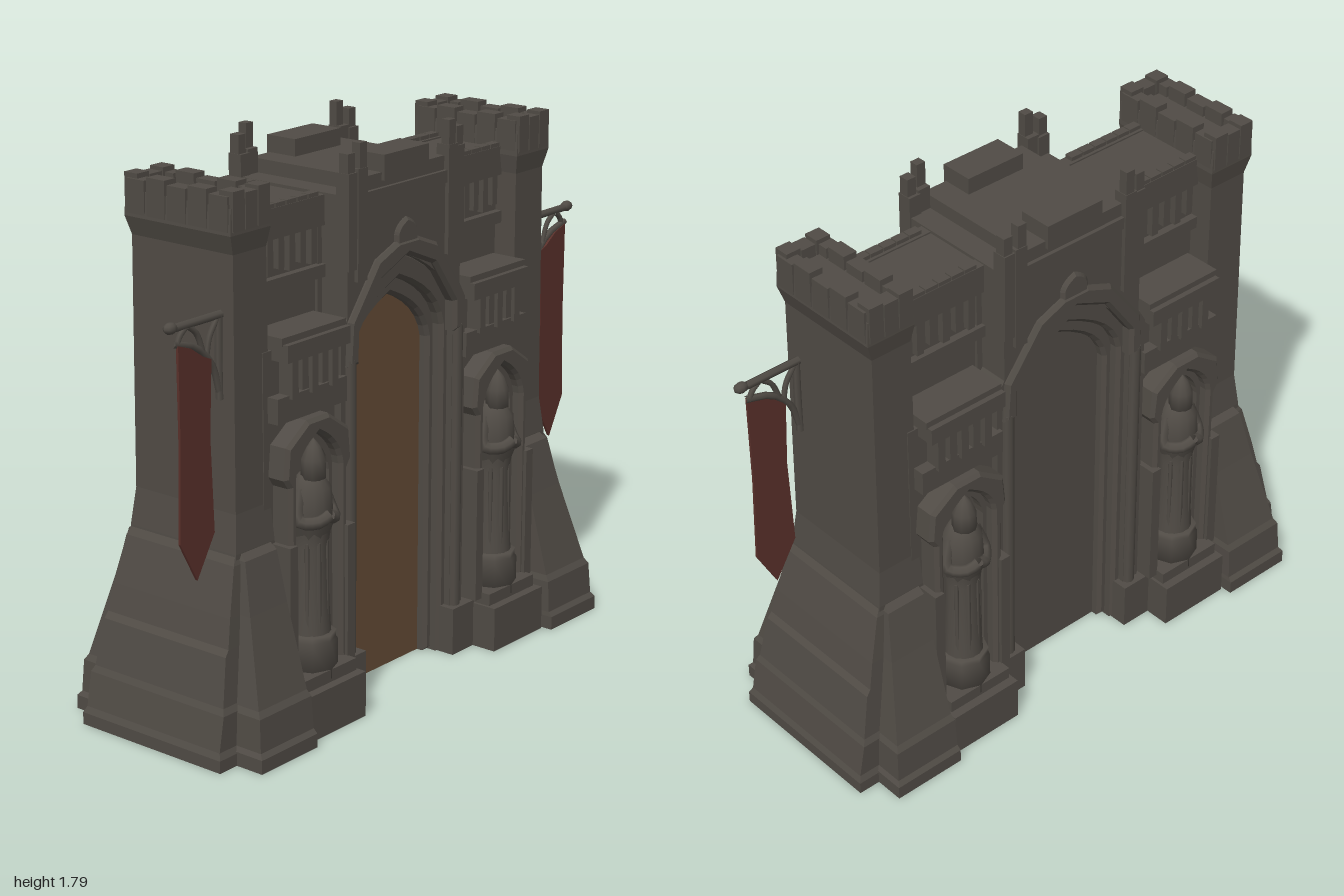
import * as THREE from 'three';

const mat = (name, color, extra = {}) => {
  const m = new THREE.MeshStandardMaterial({ color, ...extra });
  m.name = name;
  return m;
};

export function createModel() {
  const stone = mat('stone', 0x504b45);
  const wood = mat('wood', 0x644b35);
  const cloth = mat('cloth', 0x59302a, { side: THREE.DoubleSide });
  const root = new THREE.Group();
  root.name = 'gatehouse';

  const add = (parent, name, geo, material = stone) => {
    const mesh = new THREE.Mesh(geo, material);
    mesh.name = name;
    parent.add(mesh);
    return mesh;
  };
  // box given by its extents
  const box = (parent, name, x0, x1, y0, y1, z0, z1) => {
    const m = add(parent, name, new THREE.BoxGeometry(x1 - x0, y1 - y0, z1 - z0));
    m.position.set((x0 + x1) / 2, (y0 + y1) / 2, (z0 + z1) / 2);
    return m;
  };
  // stacked rectangular sections [y, half width in x, z0, z1]
  const loft = (parent, name, rows) => {
    const ring = ([y, h, z0, z1]) => [[-h, y, z1], [h, y, z1], [h, y, z0], [-h, y, z0]];
    const pos = [];
    const quad = (a, b, c, d) => pos.push(...a, ...b, ...c, ...a, ...c, ...d);
    for (let i = 0; i < rows.length - 1; i++) {
      const lo = ring(rows[i]), hi = ring(rows[i + 1]);
      for (let k = 0; k < 4; k++) quad(lo[k], lo[(k + 1) % 4], hi[(k + 1) % 4], hi[k]);
    }
    const t = ring(rows[rows.length - 1]), b = ring(rows[0]);
    quad(t[0], t[1], t[2], t[3]);
    quad(b[3], b[2], b[1], b[0]);
    const g = new THREE.BufferGeometry();
    g.setAttribute('position', new THREE.Float32BufferAttribute(pos, 3));
    g.computeVertexNormals();
    return add(parent, name, g);
  };
  // closed outline from z/y points
  const outline = (pts) => new THREE.Shape(pts.map(([z, y]) => new THREE.Vector2(z, y)));
  // pointed arch points from left foot to right foot: half width, foot, spring, peak
  const archPoints = (w, y0, ys, yp) => {
    const bend = ys + (yp - ys) * 0.62;
    const curve = new THREE.QuadraticBezierCurve(new THREE.Vector2(-w, ys),
      new THREE.Vector2(-w * 0.9, bend), new THREE.Vector2(0, yp));
    const left = [[-w, y0], ...curve.getPoints(6).map(p => [p.x, p.y])];
    return [...left, ...left.slice(0, -1).reverse().map(([z, y]) => [-z, y])];
  };
  // arch band that stays open at the foot
  const archBand = (outer, inner) => outline([...archPoints(...outer), ...archPoints(...inner).reverse()]);
  // extrude a z/y outline along x from x0 to x1
  const slab = (parent, name, shape, x0, x1, z = 0, material = stone, bevel = 0) => {
    const g = new THREE.ExtrudeGeometry(shape, {
      depth: x1 - x0 - bevel, bevelEnabled: bevel > 0,
      bevelSize: bevel, bevelThickness: bevel, bevelOffset: -bevel, bevelSegments: 1,
    });
    g.rotateY(Math.PI / 2);
    const m = add(parent, name, g, material);
    m.position.set(x0, 0, z);
    return m;
  };

  // centre block behind the gate
  box(root, 'gateCore', -0.13, 0.13, 0, 1.6, -0.3, 0.3);
  box(root, 'gateRoof', -0.23, 0.23, 1.56, 1.63, -0.28, 0.28);
  box(root, 'gateRoofTop', -0.225, 0.225, 1.6, 1.675, -0.2, 0.2);

  // statue standing in a niche
  const statue = (parent, z) => {
    const g = new THREE.Group();
    g.name = 'statue';
    g.position.set(0.236, 0, z);
    parent.add(g);
    const lathe = (name, pts, sides) => add(g, name,
      new THREE.LatheGeometry(pts.map(p => new THREE.Vector2(...p)), sides));
    lathe('pedestal', [[0, 0.15], [0.085, 0.16], [0.085, 0.27], [0.078, 0.28], [0.08, 0.3], [0, 0.31]], 8);
    lathe('robe', [[0.064, 0.3], [0.058, 0.4], [0.054, 0.58], [0.062, 0.62], [0.07, 0.7],
      [0.065, 0.77], [0.035, 0.81], [0, 0.82]], 14);
    lathe('hood', [[0, 0.78], [0.04, 0.8], [0.038, 0.86], [0.022, 0.9], [0, 0.925]], 10).position.x = 0.014;
    for (const s of [-1, 1]) {
      const path = new THREE.CatmullRomCurve3([new THREE.Vector3(0, 0.77, s * 0.05),
        new THREE.Vector3(0.02, 0.68, s * 0.075), new THREE.Vector3(0.065, 0.675, s * 0.035),
        new THREE.Vector3(0.075, 0.69, 0)]);
      add(g, 'arm', new THREE.TubeGeometry(path, 10, 0.021, 7));
      for (const a of [0.35, 1.05]) {
        const fold = add(g, 'robeFold', new THREE.CylinderGeometry(0.007, 0.009, 0.3, 6));
        fold.position.set(0.053 * Math.cos(a), 0.45, s * 0.053 * Math.sin(a));
      }
    }
    const drape = add(g, 'sleeveDrape', new THREE.CylinderGeometry(0.082, 0.056, 0.07, 10));
    drape.position.y = 0.64;
  };

  // one long face of the gatehouse, facing +x
  const face = (doorMaterial) => {
    const g = new THREE.Group();
    g.name = 'gateFace';
    root.add(g);
    slab(g, 'door', outline(archPoints(0.2, 0, 1.08, 1.27)), 0.13, 0.139, 0, doorMaterial);
    slab(g, 'gateWall', outline([[-0.31, 0], [-0.31, 1.2], [-0.28, 1.25], [-0.28, 1.61], [0.28, 1.61],
      [0.28, 1.25], [0.31, 1.2], [0.31, 0], ...archPoints(0.245, 0, 1.17, 1.4).reverse()]), 0.12, 0.23);
    slab(g, 'innerArch', archBand([0.23, 0, 1.12, 1.335], [0.192, 0, 1.08, 1.262]), 0.12, 0.172, 0, stone, 0.012);
    slab(g, 'middleArch', archBand([0.26, 0, 1.17, 1.41], [0.218, 0, 1.12, 1.32]), 0.12, 0.208, 0, stone, 0.012);

    // angular hood over the arch
    slab(g, 'archHood', outline([[-0.29, 1.1], [-0.235, 1.1], [-0.235, 1.2], [-0.13, 1.345], [0, 1.4],
      [0.13, 1.345], [0.235, 1.2], [0.235, 1.1], [0.29, 1.1], [0.28, 1.24], [0.15, 1.41], [0.05, 1.45],
      [-0.05, 1.45], [-0.15, 1.41], [-0.28, 1.24]]), 0.2, 0.248, 0, stone, 0.012);
    slab(g, 'archBoss', outline(archPoints(0.055, 1.43, 1.47, 1.52)), 0.22, 0.243, 0, stone, 0.01);
    box(g, 'upperCornice', 0.2, 0.238, 1.59, 1.63, -0.2, 0.2);
    box(g, 'roofSlab', 0.12, 0.235, 1.65, 1.73, -0.11, 0.11);

    for (const s of [-1, 1]) {
      const zz = (a, b) => (s > 0 ? [a, b] : [-b, -a]);
      // pinnacles and jamb shafts beside the arch
      box(g, 'pinnacle', 0.195, 0.244, 1.36, 1.71, ...zz(0.2, 0.245));
      box(g, 'pinnacleTip', 0.212, 0.242, 1.7, 1.788, ...zz(0.202, 0.235));
      box(g, 'pinnacleShoulder', 0.19, 0.24, 1.4, 1.7, ...zz(0.24, 0.285));
      box(g, 'pinnacleShoulderTip', 0.2, 0.235, 1.69, 1.76, ...zz(0.25, 0.283));
      box(g, 'jambFoot', 0.18, 0.262, 0, 0.16, ...zz(0.225, 0.34));
      const shaft = add(g, 'jambShaft', new THREE.CylinderGeometry(0.022, 0.022, 1, 8));
      shaft.position.set(0.228, 0.62, s * 0.268);

      // niche bay with an angular hood
      const zc = s * 0.465;
      box(g, 'nichePlinth', 0.1, 0.35, 0, 0.15, ...zz(0.335, 0.6));
      box(g, 'nichePlinthTop', 0.1, 0.32, 0.14, 0.19, ...zz(0.345, 0.59));
      slab(g, 'nicheFrame', outline([[-0.135, 0.17], [-0.135, 0.8], [-0.155, 0.83], [-0.145, 0.93], [-0.05, 0.995],
        [0.05, 0.995], [0.145, 0.93], [0.155, 0.83], [0.135, 0.8], [0.135, 0.17],
        ...archPoints(0.1, 0.17, 0.82, 0.945).reverse()]), 0.18, 0.276, zc, stone, 0.012);
      slab(g, 'nicheInnerFrame', archBand([0.11, 0.17, 0.83, 0.955], [0.085, 0.17, 0.8, 0.92]), 0.18, 0.24, zc);
      for (const d of [-0.135, 0.135]) box(g, 'nichePier', 0.18, 0.288, 0.17, 0.62, zc + d - 0.018, zc + d + 0.018);
      statue(g, zc);

      // shelf above the niche, carried on corbels
      box(g, 'lowerSill', 0.18, 0.245, 1.0, 1.08, ...zz(0.3, 0.62));
      box(g, 'shelf', 0.1, 0.268, 1.19, 1.245, ...zz(0.31, 0.6));
      box(g, 'shelfTop', 0.1, 0.25, 1.24, 1.265, ...zz(0.31, 0.605));
      for (let i = 0; i < 5; i++) {
        const z = s * (0.37 + i * 0.046);
        box(g, 'lowerCorbel', 0.18, 0.258, 1.07 + (i % 2) * 0.02, 1.2, z - 0.014, z + 0.014);
      }
      // set-back upper wall
      box(g, 'upperSill', 0.1, 0.145, 1.37, 1.41, ...zz(0.27, 0.62));
      box(g, 'parapet', 0.1, 0.142, 1.53, 1.625, ...zz(0.27, 0.62));
      for (let i = 0; i < 6; i++) {
        const z = s * (0.33 + i * 0.05);
        box(g, 'upperCorbel', 0.1, 0.142, 1.42 + (i % 2) * 0.015, 1.54, z - 0.013, z + 0.013);
        box(g, 'parapetMerlon', 0.11, 0.14, 1.61, 1.638, z - 0.023, z + 0.023);
      }
    }
    return g;
  };
  face(wood);
  face(stone).rotation.y = Math.PI;

  // end tower with its buttresses, built at +z
  const tower = () => {
    const g = new THREE.Group();
    g.name = 'tower';
    root.add(g);
    box(g, 'curtainWall', -0.205, 0.205, 0, 1.22, 0.27, 0.64);
    box(g, 'upperWall', -0.12, 0.12, 1.2, 1.62, 0.27, 0.64);
    loft(g, 'towerShaft', [[0.55, 0.215, 0.6, 0.785], [0.63, 0.215, 0.605, 0.78], [0.75, 0.203, 0.61, 0.765],
      [1.54, 0.2, 0.615, 0.76], [1.6, 0.21, 0.605, 0.78], [1.68, 0.208, 0.61, 0.775]]);
    loft(g, 'endButtress', [[0, 0.285, 0.58, 0.94], [0.04, 0.285, 0.58, 0.94], [0.06, 0.275, 0.58, 0.93],
      [0.17, 0.275, 0.58, 0.91], [0.19, 0.265, 0.58, 0.9], [0.34, 0.25, 0.58, 0.87], [0.36, 0.248, 0.58, 0.855],
      [0.45, 0.238, 0.58, 0.835], [0.6, 0.22, 0.58, 0.795], [0.64, 0.205, 0.58, 0.77]]);
    loft(g, 'sideButtress', [[0, 0.385, 0.61, 0.865], [0.045, 0.385, 0.61, 0.865], [0.06, 0.372, 0.612, 0.855],
      [0.165, 0.365, 0.614, 0.85], [0.185, 0.352, 0.62, 0.84], [0.45, 0.278, 0.622, 0.79],
      [0.61, 0.238, 0.622, 0.765], [0.64, 0.2, 0.625, 0.75]]);
    // battlements along the sides and ends
    for (const s of [-1, 1]) {
      for (let i = 0; i < 3; i++) {
        const z = 0.637 + i * 0.055;
        box(g, 'sideMerlon', s * 0.188 - 0.026, s * 0.188 + 0.026, 1.61, i === 1 ? 1.72 : 1.73, z - 0.0255, z + 0.0255);
      }
    }
    for (let i = 0; i < 5; i++) {
      const x = -0.164 + i * 0.082;
      for (const z of [0.63, 0.757]) {
        box(g, 'endMerlon', x - 0.036, x + 0.036, 1.61, 1.715 + (i % 2) * 0.012, z - 0.024, z + 0.024);
      }
    }
    return g;
  };
  tower();
  tower().rotation.y = Math.PI;

  // hanging banners on brackets at both ends
  for (const s of [-1, 1]) {
    const g = new THREE.Group();
    g.name = 'banner';
    g.position.x = 0.15;
    root.add(g);
    const flag = outline([[0.815, 1.235], [0.85, 1.25], [0.9, 1.285], [0.955, 1.305], [0.952, 1.0], [0.96, 0.7],
      [0.89, 0.57], [0.812, 0.7], [0.825, 1.0]].map(([z, y]) => [-s * z, y]));
    slab(g, 'bannerCloth', flag, 0.002, 0.011, 0, cloth);
    const rod = (name, pts, r) => add(g, name, new THREE.TubeGeometry(
      new THREE.CatmullRomCurve3(pts.map(([y, z]) => new THREE.Vector3(0, y, s * z))), 8, r, 6));
    rod('bannerPole', [[1.357, 0.75], [1.357, 0.86], [1.357, 0.985]], 0.013);
    rod('bracketArc', [[1.1, 0.765], [1.21, 0.8], [1.28, 0.87], [1.31, 0.965]], 0.011);
    rod('bracketStrut', [[1.35, 0.775], [1.3, 0.81], [1.24, 0.825]], 0.009);
    rod('bracketStrut', [[1.35, 0.9], [1.32, 0.865], [1.26, 0.84]], 0.009);
    rod('bracketStrut', [[1.35, 0.91], [1.33, 0.935], [1.3, 0.95]], 0.009);
    rod('bracketStay', [[1.1, 0.77], [1.22, 0.772], [1.36, 0.77]], 0.012);
    const finial = add(g, 'poleFinial', new THREE.SphereGeometry(0.018, 8, 6));
    finial.scale.z = 1.4;
    finial.position.set(0, 1.36, s * 0.975);
  }
  return root;
}
